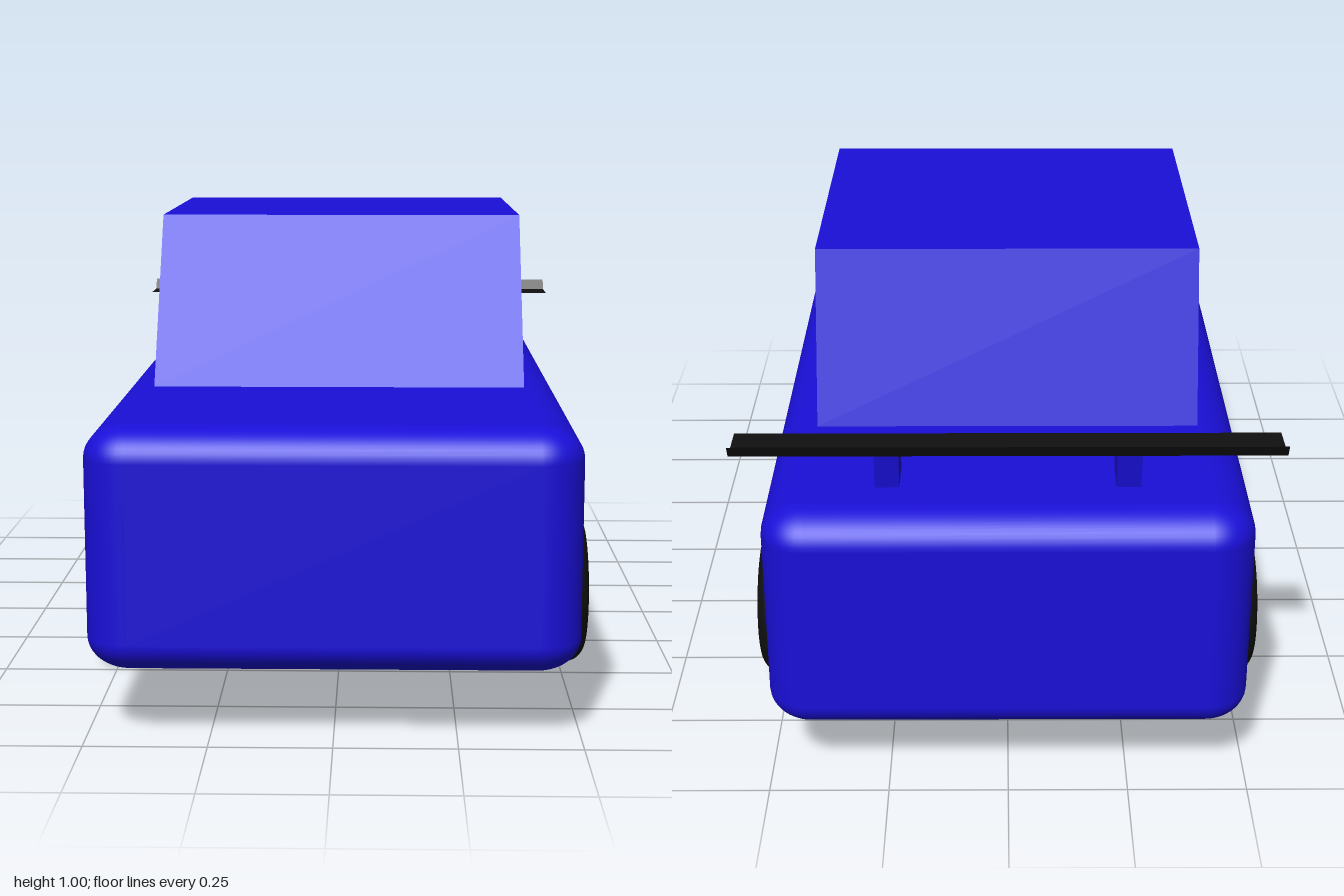
import * as THREE from 'three';
import { RoundedBoxGeometry } from 'three/addons/geometries/RoundedBoxGeometry.js';

const blue = new THREE.MeshStandardMaterial({ color: 0x1a0fd8 });
const black = new THREE.MeshStandardMaterial({ color: 0x101010 });
const blackSheet = new THREE.MeshStandardMaterial({ color: 0x101010, side: THREE.DoubleSide });

// Side profile given as [z, y] points, extruded across x and centred on x = 0
function sideExtrude(points, width) {
  const shape = new THREE.Shape(points.map(([z, y]) => new THREE.Vector2(-z, y)));
  const geo = new THREE.ExtrudeGeometry(shape, { depth: width, bevelEnabled: false });
  return geo.translate(0, 0, -width / 2).rotateY(Math.PI / 2);
}

// Solid wheel with rounded shoulders, axle along x
function wheelGeometry(radius, width, round) {
  const h = width / 2;
  const profile = new THREE.Path();
  profile.moveTo(0, -h);
  profile.lineTo(radius - round, -h);
  profile.absarc(radius - round, -h + round, round, -Math.PI / 2, 0);
  profile.lineTo(radius, h - round);
  profile.absarc(radius - round, h - round, round, 0, Math.PI / 2);
  profile.lineTo(0, h);
  return new THREE.LatheGeometry(profile.getPoints(8), 48).rotateZ(Math.PI / 2);
}

export function createModel() {
  const car = new THREE.Group();
  car.name = 'car';

  const add = (name, geometry, material, x = 0, y = 0, z = 0) => {
    const mesh = new THREE.Mesh(geometry, material);
    mesh.name = name;
    mesh.position.set(x, y, z);
    car.add(mesh);
    return mesh;
  };

  // Body: rounded box, its edges slightly flattened in height
  const squash = 0.75;
  const bodyGeo = new RoundedBoxGeometry(0.995, 0.5 / squash, 2, 6, 0.09);
  bodyGeo.scale(1, squash, 1);
  add('body', bodyGeo, blue, 0, 0.39, 0);

  // Cabin with raked windscreen and rear
  const cabin = [[0.46, 0.63], [0.455, 0.64], [0.225, 1.005], [-0.46, 1.005], [-0.575, 0.64], [-0.578, 0.63]];
  add('cabin', sideExtrude(cabin, 0.82), blue);

  // Wheels
  const wheelGeo = wheelGeometry(0.174, 0.178, 0.045);
  for (const [end, z] of [['front', 0.39], ['rear', -0.51]]) {
    for (const [side, sign] of [['Left', 1], ['Right', -1]]) {
      add(`${end}${side}Wheel`, wheelGeo, black, sign * 0.467, 0.174, z);
    }
  }

  // Spoiler: thin plate with an upturned rear lip
  const plate = new THREE.PlaneGeometry(1.122, 0.102).rotateX(-Math.PI / 2);
  add('spoilerPlate', plate, blackSheet, 0, 0.718, -0.815);
  const lipRise = 0.027, lipRun = 0.014;
  const lip = new THREE.PlaneGeometry(1.122, Math.hypot(lipRise, lipRun));
  lip.rotateX(-Math.atan2(lipRun, lipRise));
  add('spoilerLip', lip, blackSheet, 0, 0.718 + lipRise / 2, -0.866 - lipRun / 2);

  // Spoiler supports
  const supportGeo = sideExtrude([[-0.762, 0.63], [-0.775, 0.717], [-0.864, 0.717], [-0.85, 0.63]], 0.05);
  for (const [side, sign] of [['left', 1], ['right', -1]]) {
    add(`${side}SpoilerSupport`, supportGeo, blue, sign * 0.245);
  }

  return car;
}
